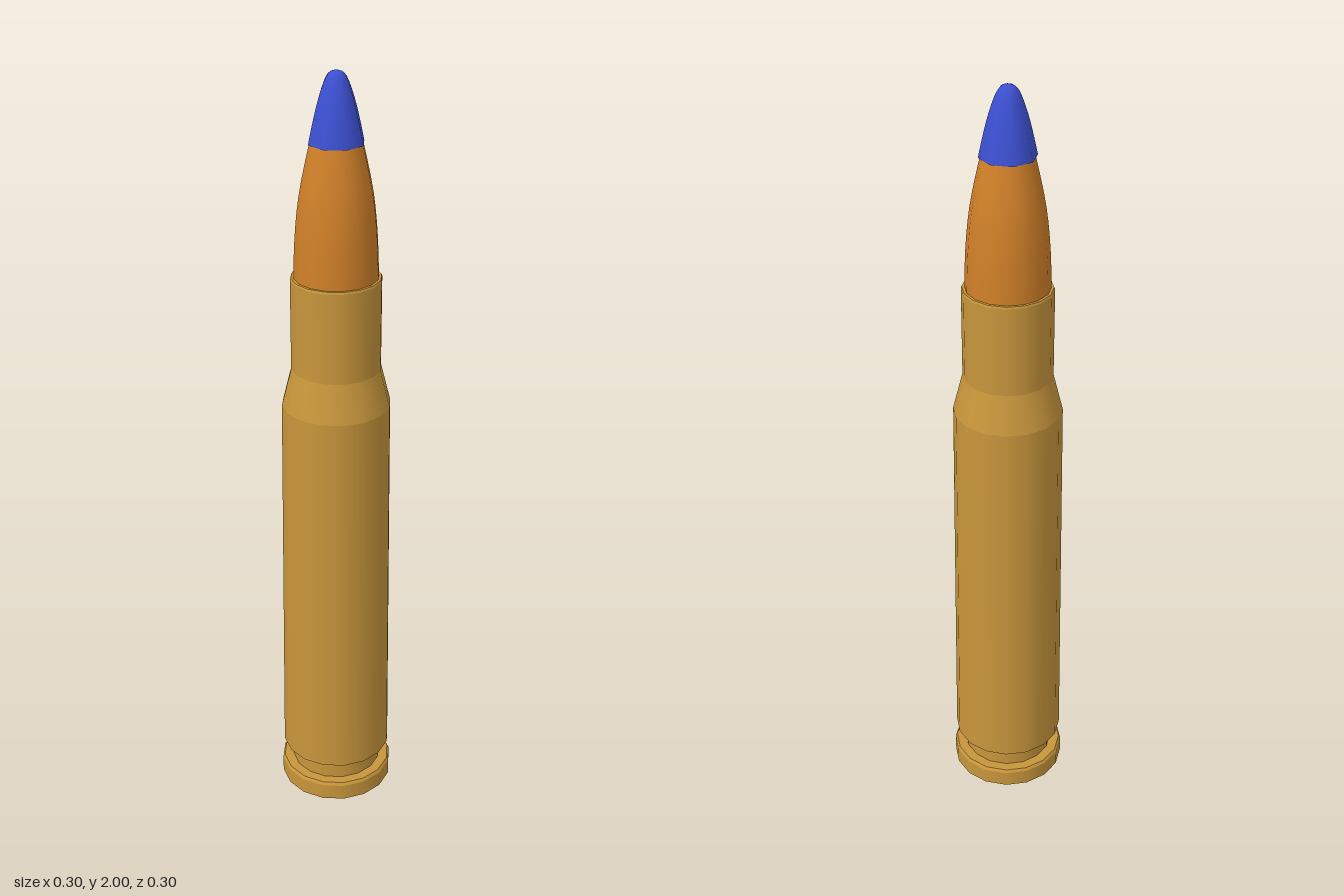
import * as THREE from 'three';
import { mergeGeometries } from 'three/addons/utils/BufferGeometryUtils.js';

const points = (list) => list.map(([r, y]) => new THREE.Vector2(r, y));

// Smooth around the axis; each inner list is a band with sharp edges to the next.
function turned(name, bands, sides, start, color) {
  const parts = bands.map((band) => new THREE.LatheGeometry(points(band), sides, start));
  const mesh = new THREE.Mesh(
    mergeGeometries(parts),
    new THREE.MeshStandardMaterial({ color })
  );
  mesh.name = name;
  return mesh;
}

// Splits a profile into one band per segment.
const sharp = (profile) => profile.slice(1).map((p, i) => [profile[i], p]);

// Samples a smooth curve through a few profile points.
function curved(profile, steps) {
  const curve = new THREE.SplineCurve(points(profile));
  return curve.getPoints(steps).map((p) => [Math.max(p.x, 0), p.y]);
}

export function createModel() {
  const group = new THREE.Group();
  group.name = 'cartridge';
  const halfStep = Math.PI / 16;

  // Case: rim, extractor groove, tapered body, shoulder, neck and mouth
  const caseProfile = [
    [0, 0], [0.153, 0], [0.153, 0.045], [0.148, 0.053], [0.122, 0.053],
    [0.122, 0.093], [0.148, 0.113], [0.139, 1.16], [0.114, 1.26],
    [0.114, 1.495], [0.112, 1.5], [0.104, 1.5],
  ];
  group.add(turned('case', sharp(caseProfile), 16, halfStep, 0xc8963c));

  // Bullet: ogive rising out of the neck
  const ogive = [[0.106, 1.46], [0.105, 1.52], [0.1, 1.62], [0.088, 1.72], [0.062, 1.84], [0.05, 1.88]];
  group.add(turned('bullet', [curved(ogive, 14)], 16, halfStep, 0xd08028));

  // Tip: faceted cap with a flat underside
  const cap = [[0.07, 1.83], [0.059, 1.88], [0.046, 1.93], [0.03, 1.975], [0.017, 1.994], [0, 2]];
  group.add(turned('tip', [[[0, 1.83], [0.07, 1.83]], curved(cap, 12)], 8, 0, 0x3c50d2));

  return group;
}
